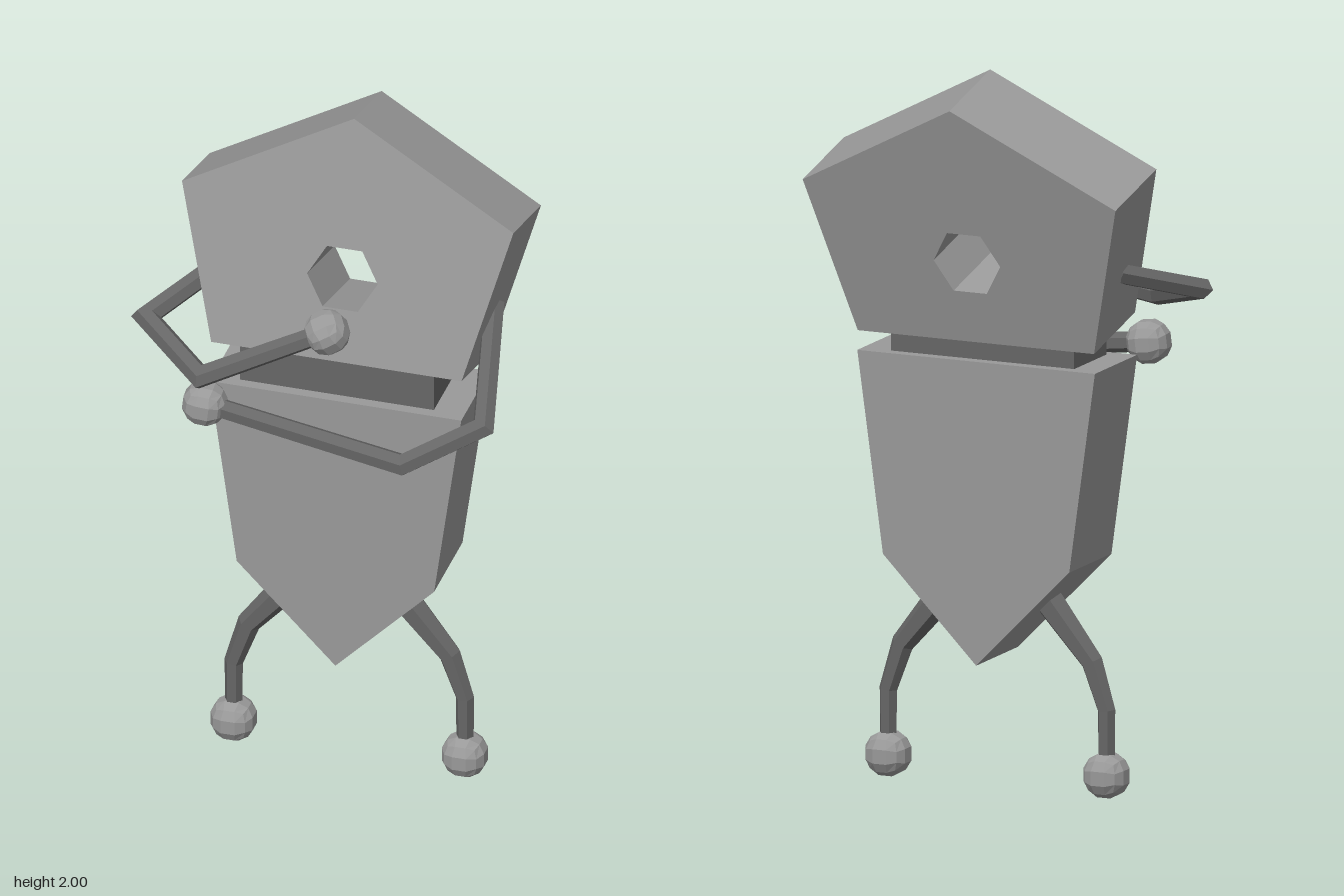
import * as THREE from 'three';

const grey = new THREE.MeshStandardMaterial({ color: 0x999999, flatShading: true });
grey.name = 'light grey';
const dark = new THREE.MeshStandardMaterial({ color: 0x666666, flatShading: true });
dark.name = 'dark grey';

const CX = 0.042; // the body's plane of symmetry
const v3 = (p) => new THREE.Vector3(...p);

function add(parent, name, geometry, material, position = [0, 0, 0]) {
  const mesh = new THREE.Mesh(geometry, material);
  mesh.name = name;
  mesh.position.set(...position);
  parent.add(mesh);
  return mesh;
}

// Flat slab from an outline, its front face at z = 0
function slab(outline, depth, hole) {
  const shape = new THREE.Shape(outline.map((p) => new THREE.Vector2(...p)));
  if (hole) shape.holes.push(new THREE.Path(hole.map((p) => new THREE.Vector2(...p))));
  return new THREE.ExtrudeGeometry(shape, { depth, bevelEnabled: false }).translate(0, 0, -depth);
}

// Rounded cube used for hands and feet
function ball(radius) {
  const g = new THREE.BoxGeometry(2, 2, 2, 3, 3, 3);
  const pos = g.attributes.position;
  const p = new THREE.Vector3();
  for (let i = 0; i < pos.count; i++) {
    p.fromBufferAttribute(pos, i).setLength(radius);
    pos.setXYZ(i, p.x, p.y, p.z);
  }
  g.computeVertexNormals();
  return g;
}

// Six-sided bar along a path, mitred at each joint
function limb(points, radii, sides = 6) {
  const pts = points.map(v3);
  const last = pts.length - 1;
  const dirs = pts.slice(1).map((p, i) => p.clone().sub(pts[i]).normalize());
  const a = new THREE.Vector3(0, 0, 1).cross(dirs[0]).normalize();
  const b = dirs[0].clone().cross(a);
  let ring = Array.from({ length: sides }, (_, k) => {
    const t = (k / sides) * Math.PI * 2;
    return a.clone().multiplyScalar(Math.cos(t)).addScaledVector(b, Math.sin(t));
  });
  const verts = [];
  pts.forEach((p, i) => {
    const d = dirs[Math.max(i - 1, 0)];
    const next = dirs[Math.min(i, last - 1)];
    const m = d.clone().add(next).normalize();
    ring = ring.map((o) => {
      const w = o.clone().addScaledVector(d, -o.dot(m) / d.dot(m));
      const q = p.clone().addScaledVector(w, radii[i]);
      verts.push(q.x, q.y, q.z);
      return w.addScaledVector(next, -w.dot(next));
    });
  });
  const start = verts.length / 3;
  verts.push(...pts[0].toArray(), ...pts[last].toArray());
  const index = [];
  for (let k = 0; k < sides; k++) {
    const n = (k + 1) % sides;
    for (let i = 0; i < last; i++) {
      const r = i * sides;
      index.push(r + k, r + n, r + sides + n, r + k, r + sides + n, r + sides + k);
    }
    index.push(start, n, k, start + 1, last * sides + k, last * sides + n);
  }
  const g = new THREE.BufferGeometry();
  g.setAttribute('position', new THREE.Float32BufferAttribute(verts, 3));
  g.setIndex(index);
  const flat = g.toNonIndexed();
  flat.computeVertexNormals();
  return flat;
}

export function createModel() {
  const model = new THREE.Group();
  model.name = 'figure';

  // Shield-shaped torso
  add(model, 'torso', slab(
    [[0, 0.36], [0.28, 0.645], [0.357, 1.205], [-0.357, 1.205], [-0.28, 0.645]], 0.268,
  ), grey, [CX, 0, 0.107]);

  // Neck block
  add(model, 'neck', new THREE.BoxGeometry(0.55, 0.13, 0.205), dark, [CX - 0.005, 1.255, -0.027]);

  // Pentagonal head with a hexagonal eye hole, leaning back
  const eye = Array.from({ length: 6 }, (_, k) => {
    const t = (k / 6) * Math.PI * 2;
    return [Math.cos(t) * 0.1, 0.237 + Math.sin(t) * 0.1];
  });
  const head = add(model, 'head', slab(
    [[-0.355, 0], [0.355, 0], [0.47, 0.443], [0, 0.696], [-0.47, 0.443]], 0.268, eye,
  ), grey, [CX, 1.325, 0.098]);
  head.rotation.x = -THREE.MathUtils.degToRad(14);

  // Legs and feet
  for (const [side, s] of [['left', 1], ['right', -1]]) {
    const path = [[0.11, 0.58], [0.15, 0.535], [0.285, 0.37], [0.328, 0.24], [0.328, 0.08]]
      .map(([x, y]) => [CX + s * x, y, -0.025]);
    add(model, side + 'Leg', limb(path, [0.046, 0.044, 0.032, 0.026, 0.024]), dark);
    add(model, side + 'Foot', ball(0.066), grey, [CX + s * 0.328, 0.06, -0.025]);
  }

  // Folded arms and hands
  const arms = {
    left: [[0.43, 1.465, -0.1], [0.487, 1.25, 0.19], [0.28, 1.14, 0.27], [-0.29, 1.215, 0.235]],
    right: [[-0.34, 1.47, -0.07], [-0.485, 1.4, 0.14], [-0.285, 1.335, 0.295], [0.025, 1.435, 0.13]],
  };
  for (const [side, path] of Object.entries(arms)) {
    add(model, side + 'Arm', limb(path, [0.03, 0.031, 0.031, 0.028]), dark);
    const hand = add(model, side + 'Hand', ball(0.064), grey, path[3]);
    if (side === 'right') hand.rotation.set(0.5, 0.5, 0.3);
    else hand.rotation.set(0, 0.1, -0.12);
  }
  return model;
}
